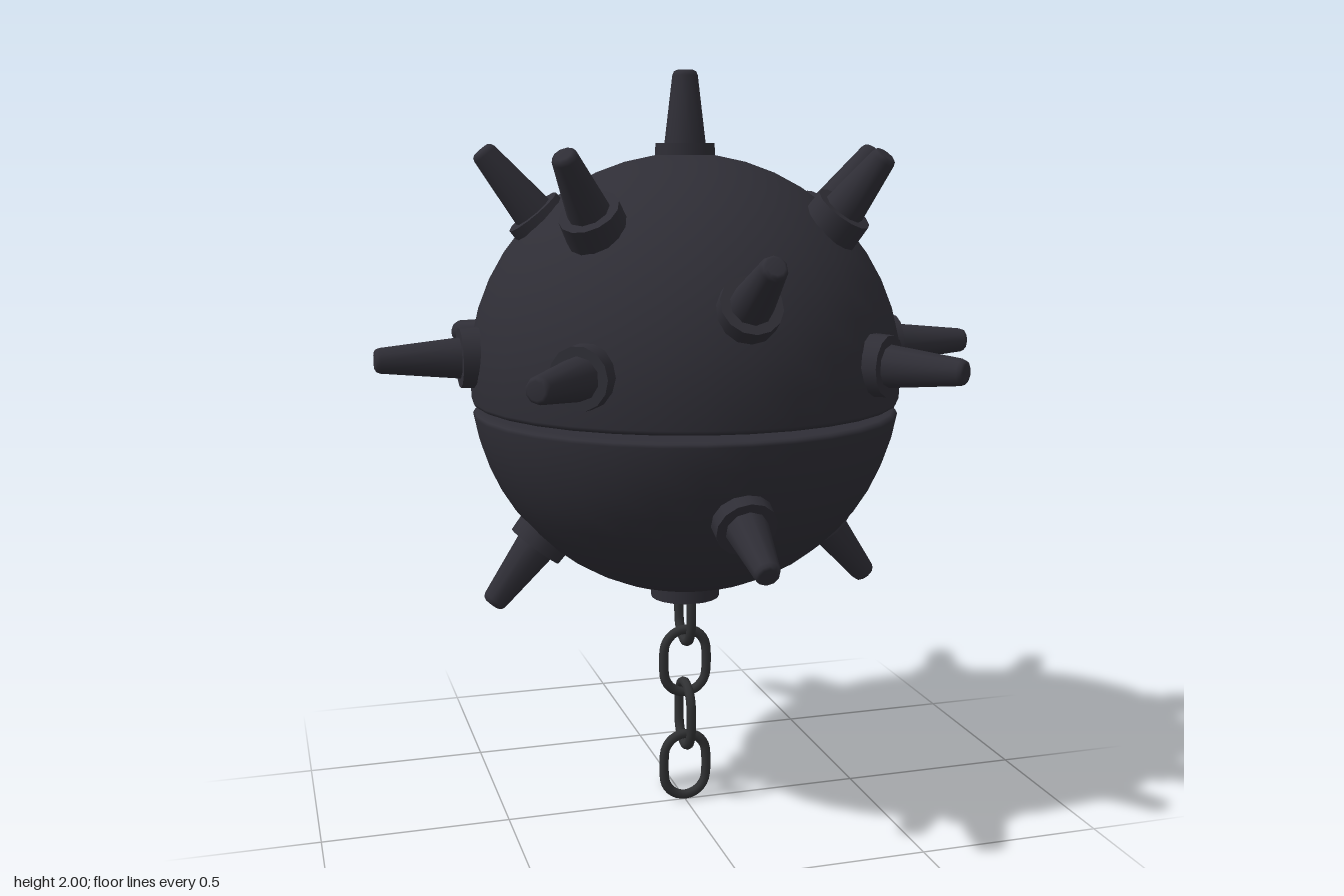
import * as THREE from 'three';

export function createModel() {
  const model = new THREE.Group();
  const iron = new THREE.MeshStandardMaterial({ color: 0x2f2e36 });
  iron.name = 'darkIron';
  const chainIron = new THREE.MeshStandardMaterial({ color: 0x303133 });
  chainIron.name = 'chainIron';

  const add = (parent, name, geometry, material) => {
    const mesh = new THREE.Mesh(geometry, material);
    mesh.name = name;
    parent.add(mesh);
    return mesh;
  };
  const v2 = (x, y) => new THREE.Vector2(x, y);

  // Two hollow-looking halves with a thin open seam between them
  const R = 0.57;
  function half(name, centreY, cutY, sign) {
    const start = Math.asin((cutY + sign * 0.012 - centreY) / R);
    const end = sign * Math.PI / 2;
    const edge = R * Math.cos(start);
    const points = [v2(0, cutY), v2(edge - 0.03, cutY), v2(edge - 0.012, cutY), v2(edge - 0.004, cutY + sign * 0.004)];
    for (let i = 0; i <= 12; i++) {
      const a = start + (end - start) * i / 12;
      points.push(v2(i === 12 ? 0 : R * Math.cos(a), centreY + R * Math.sin(a)));
    }
    if (sign < 0) points.reverse();
    add(model, name, new THREE.LatheGeometry(points, 32), iron);
  }
  half('upperShell', 1.22, 1.144, 1);
  half('lowerShell', 1.20, 1.127, -1);

  // Spikes: collar on the shell plus a blunt tapered horn
  const up = new THREE.Vector3(0, 1, 0);
  function spike(base, tip) {
    const from = new THREE.Vector3(...base);
    const dir = new THREE.Vector3(...tip).sub(from);
    const h = dir.length();
    const group = new THREE.Group();
    group.name = 'spike';
    group.position.copy(from);
    group.quaternion.setFromUnitVectors(up, dir.normalize());
    const collar = new THREE.CylinderGeometry(0.077, 0.08, 0.08, 14);
    add(group, 'spikeCollar', collar.translate(0, -0.01, 0), iron);
    const profile = [v2(0.056, 0), v2(0.053, 0.035), v2(0.033, h - 0.014), v2(0.029, h - 0.004), v2(0.022, h), v2(0, h)];
    add(group, 'spikeHorn', new THREE.LatheGeometry(profile, 10), iron);
    model.add(group);
  }
  spike([0, 1.785, 0], [0, 2, 0]);
  for (const s of [-1, 1]) {
    spike([s * 0.57, 1.276, 0], [s * 0.815, 1.276, 0]); // sides
    spike([s * 0.385, 1.62, 0], [s * 0.532, 1.798, 0]); // upper sides
    spike([s * 0.395, 0.79, 0], [s * 0.532, 0.618, 0]); // lower sides
    spike([s * 0.313, 1.63, 0.285], [s * 0.402, 1.787, 0.376]); // upper front pair
    spike([0, 1.43, s * 0.525], [0, 1.545, s * 0.71]); // upper front and back
    spike([0, 0.92, s * 0.50], [0, 0.833, s * 0.685]); // lower front and back
    for (const t of [-1, 1]) {
      spike([s * 0.372, 1.276, t * 0.432], [s * 0.52, 1.276, t * 0.612]); // corners
    }
  }

  // Socket that holds the chain
  add(model, 'chainSocket', new THREE.CylinderGeometry(0.093, 0.093, 0.08, 20).translate(0, 0.64, 0), iron);

  // Chain of oval links, alternately turned by a quarter
  const r = 0.06, straight = 0.03;
  const path = [];
  for (let i = 0; i < 20; i++) {
    const a = (i + 0.5) / 20 * Math.PI * 2;
    path.push(new THREE.Vector3(r * Math.cos(a), r * Math.sin(a) + Math.sign(Math.sin(a)) * straight, 0));
  }
  const link = new THREE.TubeGeometry(new THREE.CatmullRomCurve3(path, true), 40, 0.0135, 8, true);
  [0.108, 0.258, 0.411, 0.559].forEach((y, i) => {
    const mesh = add(model, 'chainLink', link, chainIron);
    mesh.position.y = y;
    mesh.rotation.y = (i % 2) * Math.PI / 2;
  });

  return model;
}
